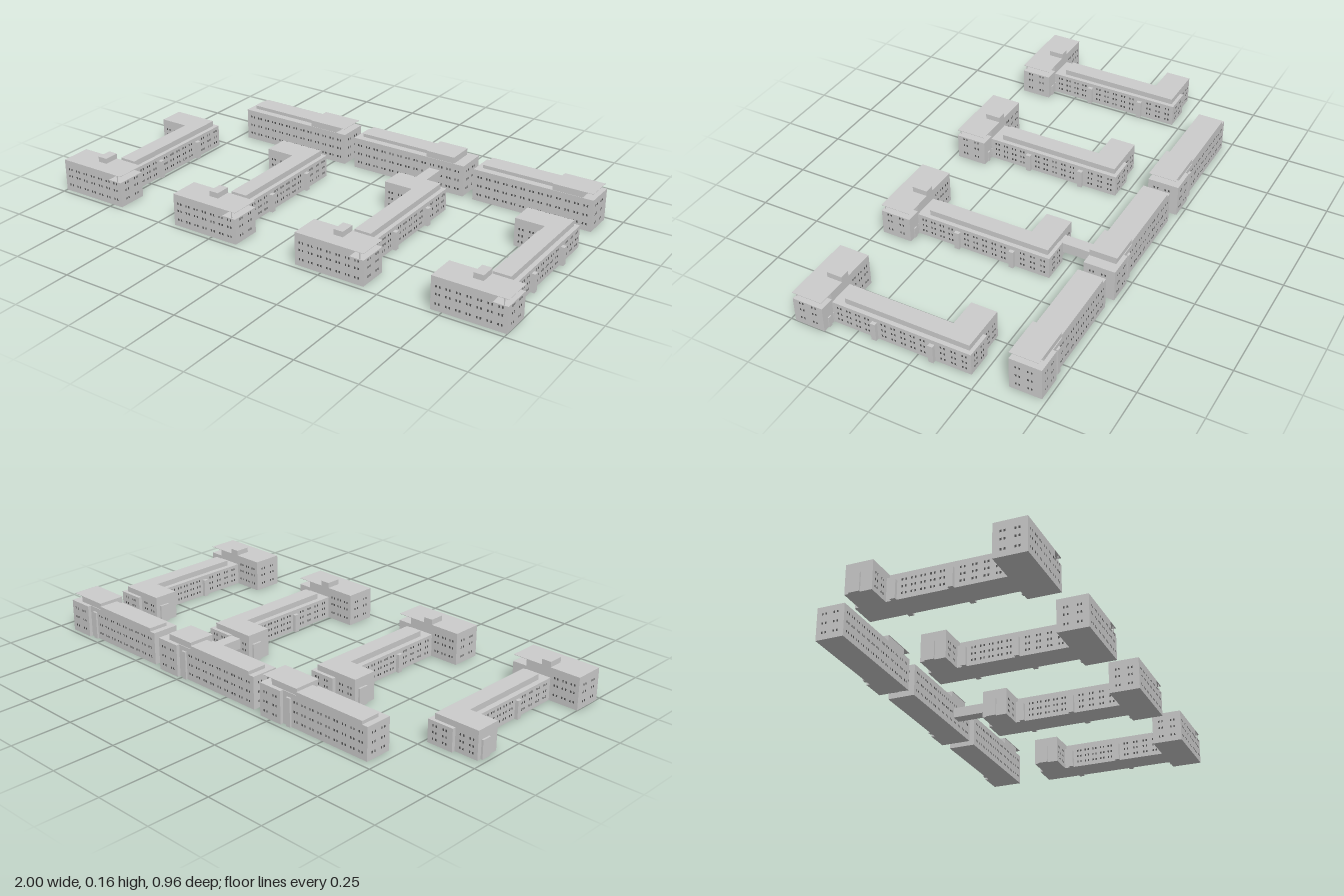
import * as THREE from 'three';
import { mergeGeometries } from 'three/addons/utils/BufferGeometryUtils.js';

const wall = new THREE.MeshStandardMaterial({ color: 0xcccccc, flatShading: true });
const glass = new THREE.MeshStandardMaterial({ color: 0x555555 });

// Box given by its extents on each axis
function block(parent, name, x0, x1, y0, y1, z0, z1) {
  const mesh = new THREE.Mesh(new THREE.BoxGeometry(x1 - x0, y1 - y0, z1 - z0), wall);
  mesh.position.set((x0 + x1) / 2, (y0 + y1) / 2, (z0 + z1) / 2);
  mesh.name = name;
  parent.add(mesh);
}

// Paired windows on a wall facing +z, -z, +x or -x
function windows(parent, facing, at, from, to, floors, pairs) {
  const parts = [];
  const turn = { '+z': 0, '+x': Math.PI / 2, '-z': Math.PI, '-x': -Math.PI / 2 }[facing];
  const off = at + (facing[0] === '+' ? 0.0006 : -0.0006);
  for (const y of floors) {
    for (let i = 0; i < pairs; i++) {
      for (const d of [-0.007, 0.007]) {
        const s = from + ((to - from) * (i + 0.5)) / pairs + d;
        const g = new THREE.PlaneGeometry(0.006, 0.009).rotateY(turn);
        if (facing[1] === 'z') g.translate(s, y, off);
        else g.translate(off, y, s);
        parts.push(g);
      }
    }
  }
  const mesh = new THREE.Mesh(mergeGeometries(parts), glass);
  mesh.name = 'windows';
  parent.add(mesh);
}

// Wing: wide front block, long corridor and a short rear arm
function wing(cx) {
  const g = new THREE.Group();
  g.name = 'wing';
  g.position.x = cx;

  // Front block with a covered terrace at its left end
  block(g, 'frontBlock', -0.148, 0.088, 0, 0.133, 0.355, 0.48);
  block(g, 'terraceBlock', 0.088, 0.148, 0, 0.105, 0.355, 0.48);
  block(g, 'terraceRoof', 0.088, 0.148, 0.1315, 0.133, 0.355, 0.48);
  block(g, 'terracePost', 0.128, 0.131, 0.105, 0.1315, 0.474, 0.477);
  block(g, 'roofHut', -0.02, 0.02, 0.133, 0.155, 0.355, 0.418);
  block(g, 'rearPorch', 0.07, 0.09, 0, 0.045, 0.351, 0.355);
  block(g, 'rearPorch', 0.107, 0.122, 0, 0.045, 0.351, 0.355);

  // Corridor and arm with the raised L-shaped attic
  block(g, 'corridor', -0.022, 0.088, 0, 0.092, -0.215, 0.355);
  block(g, 'corridorAttic', 0, 0.07, 0.092, 0.115, -0.2, 0.31);
  block(g, 'rearArm', -0.121, -0.022, 0, 0.115, -0.2, -0.095);
  block(g, 'armAttic', -0.022, 0, 0.092, 0.115, -0.2, -0.095);
  block(g, 'armPorch', -0.129, -0.121, 0, 0.075, -0.182, -0.14);

  // Stair shafts on both long walls
  for (const z of [-0.06, 0.176]) block(g, 'stairShaft', 0.088, 0.103, 0, 0.075, z - 0.01, z + 0.01);
  for (const z of [-0.064, 0.152]) block(g, 'stairShaft', -0.036, -0.022, 0, 0.075, z - 0.01, z + 0.01);

  const tall = [0.028, 0.066, 0.096], low = [0.022, 0.048, 0.074];
  windows(g, '+z', 0.48, -0.14, 0.14, tall, 7);
  windows(g, '-z', 0.355, -0.14, -0.03, tall, 3);
  windows(g, '+x', 0.148, 0.365, 0.47, tall, 2);
  windows(g, '-x', -0.148, 0.365, 0.47, tall, 2);
  for (const [a, b, n] of [[-0.21, -0.08, 3], [-0.04, 0.16, 5], [0.19, 0.345, 4]]) {
    windows(g, '+x', 0.088, a, b, low, n);
  }
  for (const [a, b, n] of [[-0.045, 0.135, 5], [0.17, 0.345, 4]]) {
    windows(g, '-x', -0.022, a, b, low, n);
  }
  windows(g, '-z', -0.215, -0.01, 0.08, low, 2);
  windows(g, '-z', -0.2, -0.115, -0.03, low, 2);
  windows(g, '+z', -0.095, -0.115, -0.03, low, 2);
  return g;
}

// Rear slab building: x0 is its right end, w its length
function rearBuilding(x0, w, hasCanopy) {
  const g = new THREE.Group();
  g.name = 'rearBuilding';
  g.position.x = x0;
  const h = 0.133;
  block(g, 'body', 0, w, 0, h, -0.468, -0.355);
  block(g, 'attic', 0.025, w - 0.172, h, 0.147, -0.468, -0.385);
  block(g, 'rearStair', w - 0.105, w, 0, h, -0.482, -0.468);
  block(g, 'rearPorch', w - 0.147, w - 0.127, 0, 0.115, -0.476, -0.468);
  // Taller roof storey, with an overhanging canopy where open
  block(g, 'roofStorey', w - 0.172, w - 0.045, h, 0.1585, -0.465, -0.357);
  block(g, 'storeyRoof', w - 0.172, hasCanopy ? w - 0.002 : w - 0.045, 0.1585, 0.16, -0.468, -0.355);

  const floors = [0.028, 0.066, 0.104];
  windows(g, '+z', -0.355, 0.01, w - 0.01, floors, 13);
  windows(g, '-z', -0.468, 0.01, w - 0.15, floors, 9);
  windows(g, '-z', -0.482, w - 0.1, w - 0.005, floors, 2);
  windows(g, '+x', w, -0.46, -0.365, floors, 2);
  windows(g, '-x', 0, -0.46, -0.365, floors, 2);
  return g;
}

export function createModel() {
  const model = new THREE.Group();
  model.name = 'buildingComplex';
  for (let i = 0; i < 4; i++) model.add(wing(-0.852 + i * 0.568));
  model.add(rearBuilding(-0.71, 0.512, true));
  model.add(rearBuilding(-0.15, 0.52, false));
  model.add(rearBuilding(0.415, 0.513, true));
  // Raised walkway joining the third wing to the middle rear building
  block(model, 'bridge', 0.213, 0.262, 0.046, 0.088, -0.356, -0.199);
  return model;
}
